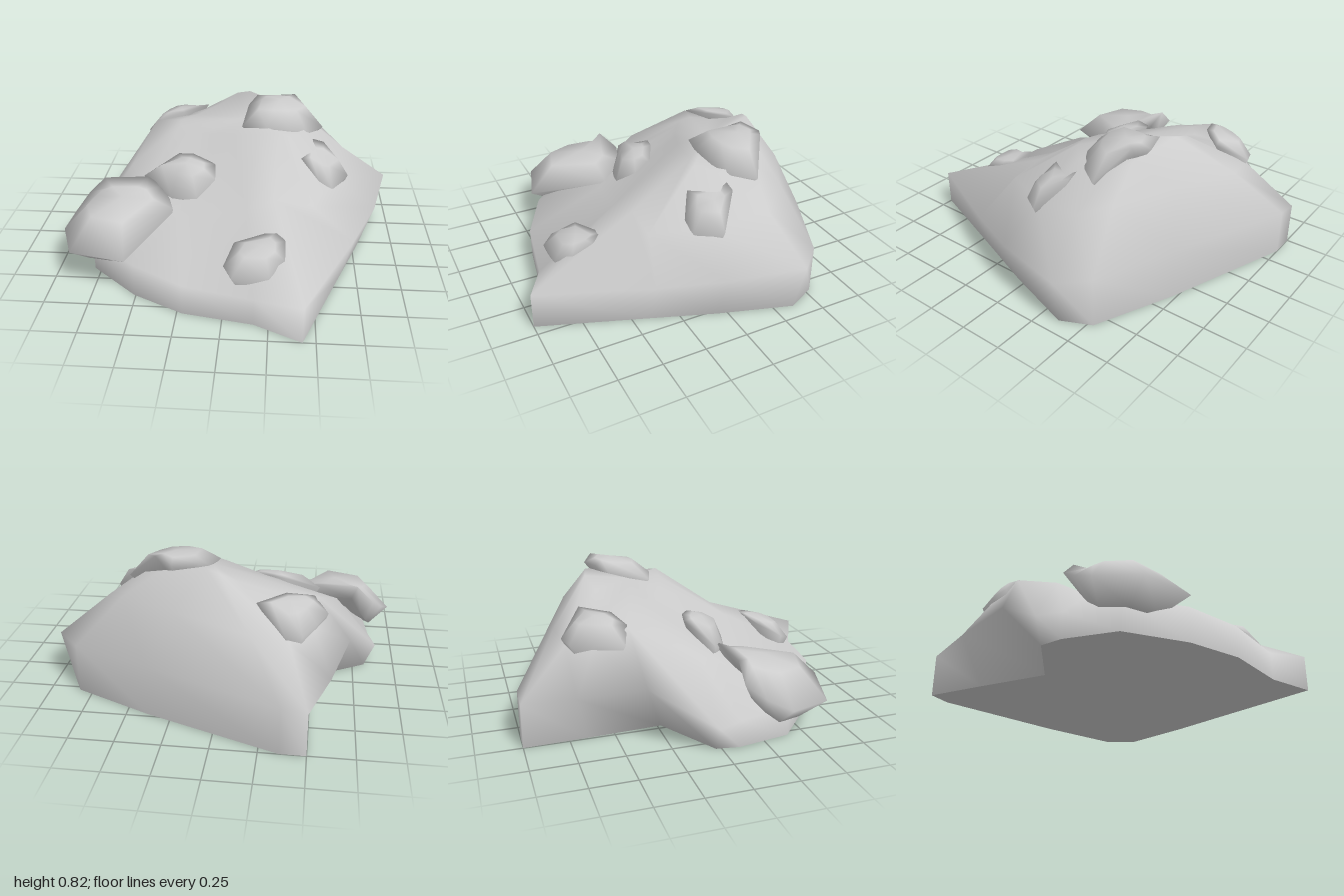
import * as THREE from 'three';

const stone = new THREE.MeshStandardMaterial({ color: 0xcccccc });

// Skin stacked rings (bottom to top, clockwise seen from above) and close both ends.
function loft(name, rings, bottom, top) {
  const n = rings[0].length;
  const pos = [...rings.flat(2), ...top];
  const topId = rings.length * n;
  const index = [];
  for (let r = 0; r < rings.length - 1; r++) {
    for (let i = 0; i < n; i++) {
      const j = (i + 1) % n;
      const a = r * n + i, b = r * n + j, c = a + n, d = b + n;
      index.push(a, c, d, a, d, b);
    }
  }
  const last = (rings.length - 1) * n;
  for (let i = 0; i < n; i++) index.push(last + i, topId, last + (i + 1) % n);

  // the underside has its own vertices so its rim stays crisp
  const start = topId + 1;
  pos.push(...rings[0].flat(), ...bottom);
  for (let i = 0; i < n; i++) index.push(start + i, start + (i + 1) % n, start + n);

  const geo = new THREE.BufferGeometry();
  geo.setAttribute('position', new THREE.Float32BufferAttribute(pos, 3));
  geo.setIndex(index);
  geo.computeVertexNormals();
  const mesh = new THREE.Mesh(geo, stone);
  mesh.name = name;
  return mesh;
}

// A rounded stone: widest at its rim, bulging to a crown and tapering below.
function boulder(name, rim, crown, depth) {
  const mid = [0, 1, 2].map(k => rim.reduce((s, p) => s + p[k], 0) / rim.length);
  const mix = (a, b, t) => a + (b - a) * t;
  const under = rim.map(p => [mix(p[0], mid[0], 0.4), p[1] - depth, mix(p[2], mid[2], 0.4)]);
  const shoulder = rim.map(p => [mix(p[0], crown[0], 0.42), mix(p[1], crown[1], 0.78), mix(p[2], crown[2], 0.42)]);
  return loft(name, [under, rim, shoulder], [mid[0], mid[1] - depth * 1.1, mid[2]], crown);
}

export function createModel() {
  const model = new THREE.Group();
  model.name = 'rockOutcrop';

  // main mass: steep skirt, hollowed flanks, tilted plateau
  const skirt = [
    [-0.5, 0.25, -1], [-0.36, 0.27, -1], [0.38, 0.3, -0.73], [0.83, 0.29, -0.53],
    [0.97, 0.29, -0.38], [0.87, 0.28, 0.05], [0.72, 0.25, 0.4], [0.43, 0.21, 1],
    [0.17, 0.16, 0.87], [-0.22, 0.18, 0.8], [-0.51, 0.2, 0.65], [-0.79, 0.18, 0.4],
    [-0.84, 0.15, 0.1], [-0.88, 0.14, -0.03], [-0.71, 0.34, -0.37], [-0.61, 0.29, -0.72],
  ];
  const flank = [
    [-0.38, 0.51, -0.73], [-0.18, 0.54, -0.76], [0.25, 0.59, -0.63], [0.56, 0.58, -0.46],
    [0.68, 0.52, -0.3], [0.62, 0.46, 0.02], [0.48, 0.43, 0.33], [0.27, 0.46, 0.33],
    [0.1, 0.42, 0.38], [-0.12, 0.36, 0.34], [-0.3, 0.32, 0.3], [-0.46, 0.34, 0.2],
    [-0.54, 0.39, 0.08], [-0.63, 0.46, -0.07], [-0.52, 0.62, -0.42], [-0.5, 0.53, -0.6],
  ];
  const plateau = [
    [-0.1, 0.72, -0.5], [0, 0.78, -0.54], [0.08, 0.8, -0.52], [0.35, 0.73, -0.43],
    [0.45, 0.69, -0.35], [0.42, 0.68, -0.12], [0.33, 0.7, -0.03], [0.27, 0.72, -0.04],
    [0.15, 0.7, -0.05], [0, 0.67, -0.09], [-0.12, 0.65, -0.14], [-0.21, 0.64, -0.19],
    [-0.29, 0.64, -0.24], [-0.35, 0.64, -0.29], [-0.35, 0.65, -0.37], [-0.25, 0.66, -0.45],
  ];
  const base = skirt.map(([x, , z]) => [x, 0, z]);
  // the right and left walls are undercut
  base[4] = [0.91, 0, -0.36];
  base[5] = [0.78, 0, 0.05];
  base[6] = [0.65, 0, 0.4];
  base[13] = [-0.82, 0, -0.03];
  base[14] = [-0.47, 0, -0.23];
  base[15] = [-0.49, 0, -0.65];
  model.add(loft('mainRock', [base, skirt, flank, plateau], [0.05, 0, 0], [0.08, 0.72, -0.25]));

  // large tilted boulder overhanging the front corner
  model.add(boulder('overhangBoulder', [
    [-0.86, 0.36, 0.11], [-0.76, 0.46, 0.11], [-0.5, 0.47, 0.1], [-0.41, 0.42, 0.12],
    [-0.32, 0.33, 0.25], [-0.55, 0.24, 0.68], [-0.88, 0.22, 0.58], [-0.97, 0.23, 0.34],
    [-0.92, 0.29, 0.21],
  ], [-0.62, 0.435, 0.3], 0.11));

  // boulder beside the overhang
  model.add(boulder('slopeBoulder', [
    [-0.53, 0.46, 0.07], [-0.33, 0.56, -0.05], [-0.24, 0.57, -0.03], [-0.09, 0.54, 0.05],
    [-0.08, 0.48, 0.15], [-0.19, 0.38, 0.24], [-0.35, 0.38, 0.19],
  ], [-0.27, 0.56, 0.08], 0.14));

  // boulder on the summit
  model.add(boulder('summitBoulder', [
    [0.05, 0.71, -0.14], [0.08, 0.76, -0.38], [0.13, 0.8, -0.45], [0.27, 0.79, -0.49],
    [0.37, 0.82, -0.43], [0.55, 0.65, -0.31], [0.45, 0.66, -0.17], [0.35, 0.7, -0.12],
    [0.2, 0.72, -0.1],
  ], [0.28, 0.82, -0.33], 0.1));

  // boulder on the right flank
  model.add(boulder('flankBoulder', [
    [0.43, 0.65, -0.15], [0.55, 0.62, -0.15], [0.7, 0.46, -0.02], [0.6, 0.43, 0.12],
    [0.52, 0.49, 0.13], [0.41, 0.6, 0.06],
  ], [0.55, 0.59, -0.03], 0.14));

  // low boulder near the front edge
  model.add(boulder('frontBoulder', [
    [0, 0.27, 0.73], [0.05, 0.34, 0.6], [0.28, 0.38, 0.52], [0.33, 0.36, 0.6],
    [0.33, 0.31, 0.72], [0.25, 0.25, 0.8], [0.05, 0.24, 0.8],
  ], [0.2, 0.36, 0.65], 0.15));

  // boulder on the back ridge
  model.add(boulder('backBoulder', [
    [-0.58, 0.54, -0.45], [-0.52, 0.54, -0.6], [-0.45, 0.53, -0.72], [-0.36, 0.54, -0.75],
    [-0.2, 0.66, -0.62], [-0.35, 0.66, -0.47], [-0.5, 0.63, -0.42],
  ], [-0.38, 0.66, -0.57], 0.13));

  return model;
}
